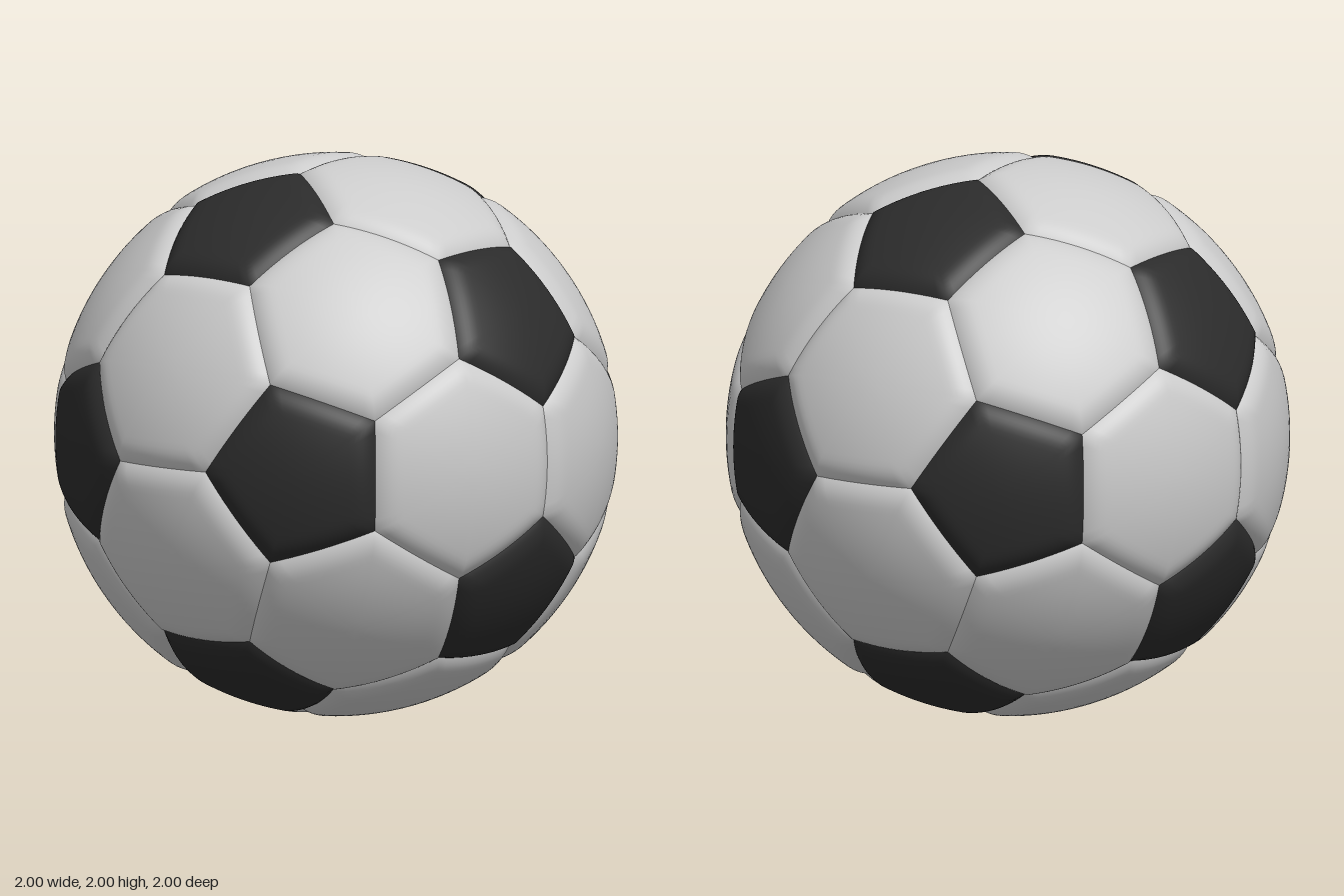
import * as THREE from 'three';

const RADIUS = 1.002, GROOVE_DEPTH = 0.024, GROOVE_WIDTH = 0.085;
const RINGS = 16, EDGE_STEPS = 10;

// Corners sorted counter-clockwise around the panel centre, seen from outside
function sortAround(centre, corners) {
  const u = corners[0].clone().addScaledVector(centre, -corners[0].dot(centre)).normalize();
  const w = centre.clone().cross(u);
  const angle = (p) => Math.atan2(p.dot(w), p.dot(u));
  return corners.slice().sort((a, b) => angle(a) - angle(b));
}

// One padded panel: concentric polygon rings on the ball, sinking at the seams
function panelGeometry(centre, unsorted) {
  const corners = sortAround(centre, unsorted);
  const n = corners.length, perRing = n * EDGE_STEPS;
  const planes = corners.map((c, k) => c.clone().cross(corners[(k + 1) % n]).normalize());
  const flatCentre = corners.reduce((s, c) => s.add(c), new THREE.Vector3()).divideScalar(n);
  const positions = [], index = [];

  const addPoint = (p) => {
    p.normalize();
    const toSeam = Math.max(0, Math.min(...planes.map((m) => Math.asin(p.dot(m)))));
    const t = Math.max(0, 1 - toSeam / GROOVE_WIDTH);
    p.multiplyScalar(RADIUS - GROOVE_DEPTH * Math.pow(t, 2.3));
    positions.push(p.x, p.y, p.z);
  };

  addPoint(flatCentre.clone());
  for (let i = 1; i <= RINGS; i++) {
    const s = 1 - Math.pow(1 - i / RINGS, 1.8); // rings crowd towards the seam
    for (let j = 0; j < perRing; j++) {
      const k = Math.floor(j / EDGE_STEPS);
      const onEdge = corners[k].clone().lerp(corners[(k + 1) % n], (j % EDGE_STEPS) / EDGE_STEPS);
      addPoint(flatCentre.clone().lerp(onEdge, s));
    }
  }
  for (let j = 0; j < perRing; j++) {
    const next = (j + 1) % perRing;
    index.push(0, 1 + j, 1 + next);
    for (let i = 0; i < RINGS - 1; i++) {
      const a = 1 + i * perRing, b = a + perRing;
      index.push(a + j, b + j, b + next, a + j, b + next, a + next);
    }
  }
  const geometry = new THREE.BufferGeometry();
  geometry.setAttribute('position', new THREE.Float32BufferAttribute(positions, 3));
  geometry.setIndex(index);
  geometry.computeVertexNormals();
  return geometry;
}

export function createModel() {
  const ball = new THREE.Group();
  ball.name = 'ball';
  const white = new THREE.MeshStandardMaterial({ color: 0xcccccc });
  const black = new THREE.MeshStandardMaterial({ color: 0x2b2b2b });

  // Icosahedron vertices: the centres of the twelve pentagons
  const phi = (1 + Math.sqrt(5)) / 2;
  const hubs = [];
  for (const a of [-1, 1]) {
    for (const b of [-phi, phi]) {
      hubs.push(new THREE.Vector3(0, a, b), new THREE.Vector3(a, b, 0), new THREE.Vector3(b, 0, a));
    }
  }
  const adjacent = (a, b) => Math.abs(a.distanceTo(b) - 2) < 0.01;
  // Ball corner one third of the way along an icosahedron edge
  const third = (a, b) => a.clone().lerp(b, 1 / 3).normalize();

  const addPanel = (name, centre, corners, material) => {
    const mesh = new THREE.Mesh(panelGeometry(centre.clone().normalize(), corners), material);
    mesh.name = name;
    mesh.position.y = 1;
    ball.add(mesh);
  };

  // Black pentagons
  hubs.forEach((hub, i) => {
    const corners = hubs.filter((h) => adjacent(hub, h)).map((h) => third(hub, h));
    addPanel(`pentagonPanel${i + 1}`, hub, corners, black);
  });

  // White hexagons, one for each trio of neighbouring pentagons
  let count = 0;
  for (let i = 0; i < 12; i++) {
    for (let j = i + 1; j < 12; j++) {
      for (let k = j + 1; k < 12; k++) {
        const [a, b, c] = [hubs[i], hubs[j], hubs[k]];
        if (!adjacent(a, b) || !adjacent(b, c) || !adjacent(a, c)) continue;
        const corners = [[a, b], [b, a], [b, c], [c, b], [c, a], [a, c]].map(([p, q]) => third(p, q));
        addPanel(`hexagonPanel${++count}`, a.clone().add(b).add(c), corners, white);
      }
    }
  }
  return ball;
}
